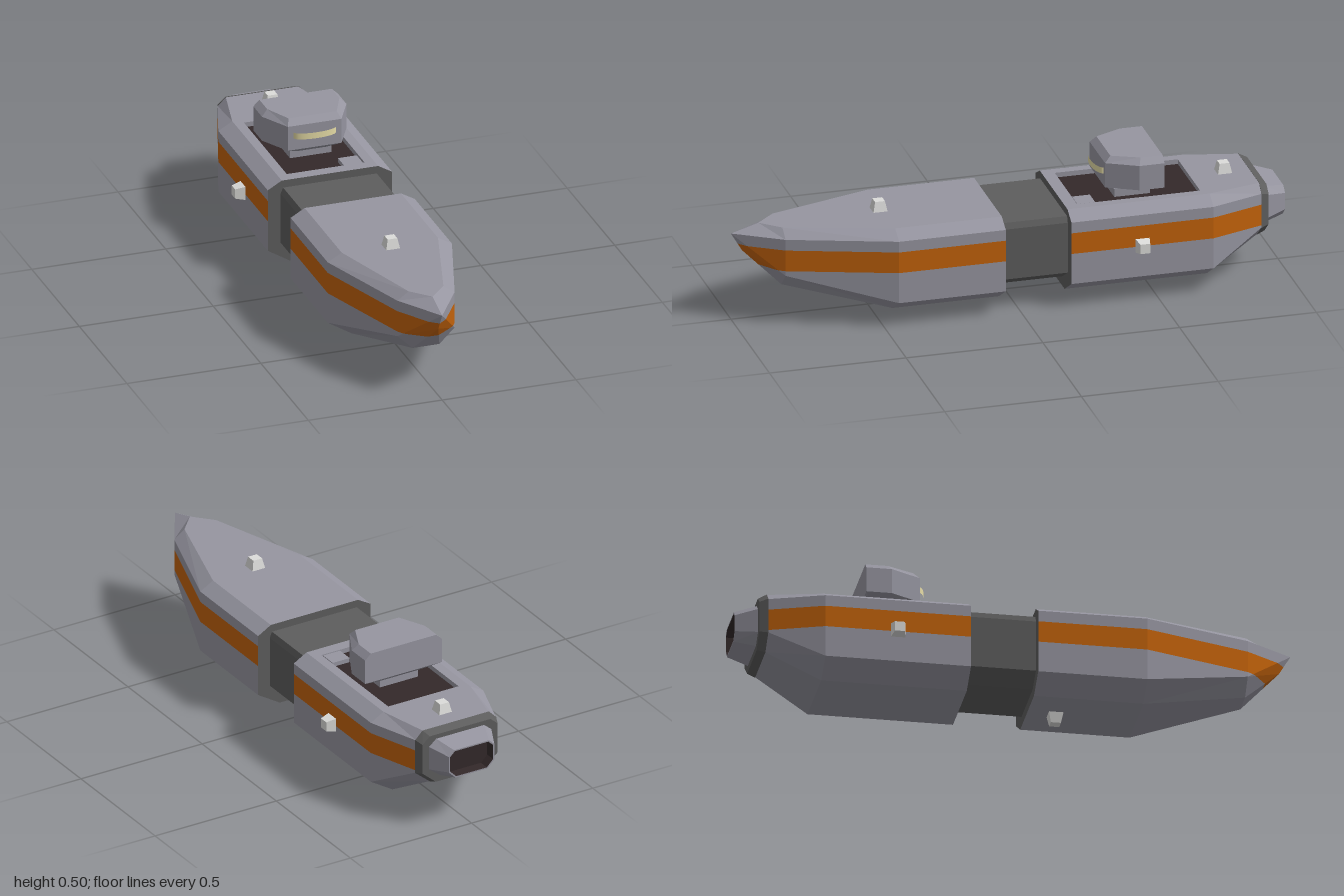
import * as THREE from 'three';

const paint = (color) => new THREE.MeshStandardMaterial({ color });
const STRIPE_LOW = 0.208, STRIPE_HIGH = 0.287;

// Flat-shaded geometry from a list of triangles
function fromTriangles(tris) {
  const g = new THREE.BufferGeometry();
  g.setFromPoints(tris.flat());
  g.computeVertexNormals();
  return g;
}

// Closed ring from its +x half, mirrored to -x
function ring(half) {
  const right = half.map(([x, y, z]) => new THREE.Vector3(x, y, z));
  const left = half.map(([x, y, z]) => new THREE.Vector3(-x, y, z)).reverse();
  return [...right, ...left];
}

// Ring across the ship at one z, from [x, y] pairs
const section = (z, half) => ring(half.map(([x, y]) => [x, y, z]));
// Ring in plan at one y, from [x, z] pairs
const level = (y, half) => ring(half.map(([x, z]) => [x, y, z]));

// Cap of a ring; flipped for the far end
function cap(r, flip) {
  const tris = [];
  for (let i = 1; i < r.length - 1; i++) tris.push(flip ? [r[0], r[i + 1], r[i]] : [r[0], r[i], r[i + 1]]);
  return tris;
}

// Skin between successive rings, with mirrored diagonals; skipDeck names the span left open on top
function skin(rings, skipDeck = -1) {
  const tris = [];
  for (let s = 0; s < rings.length - 1; s++) {
    const a = rings[s], b = rings[s + 1], n = a.length;
    for (let i = 0; i < n; i++) {
      if (s === skipDeck && i === n - 1) continue;
      const j = (i + 1) % n;
      if (i < n / 2) tris.push([a[i], b[i], a[j]], [b[i], b[j], a[j]]);
      else tris.push([a[i], b[i], b[j]], [a[i], b[j], a[j]]);
    }
  }
  return tris.filter((t) => new THREE.Triangle(...t).getArea() > 1e-7);
}

// Part of a polygon on one side of a height (sign +1 keeps above)
function clip(poly, y, sign) {
  const out = [];
  poly.forEach((p, i) => {
    const q = poly[(i + 1) % poly.length];
    const dp = (p.y - y) * sign, dq = (q.y - y) * sign;
    if (dp >= 0) out.push(p);
    if (dp * dq < 0) out.push(p.clone().lerp(q, dp / (dp - dq)));
  });
  return out;
}

// Separates the triangles into plain hull and stripe
function splitStripe(tris) {
  const hull = [], stripe = [];
  const add = (list, poly) => { if (poly.length > 2) list.push(...cap(poly, false)); };
  for (const t of tris) {
    add(hull, clip(t, STRIPE_LOW, -1));
    add(stripe, clip(clip(t, STRIPE_LOW, 1), STRIPE_HIGH, -1));
    add(hull, clip(t, STRIPE_HIGH, 1));
  }
  return { hull, stripe };
}

export function createModel() {
  const hullGrey = paint(0x9695a0);
  const orange = paint(0xc2620a);
  const darkGrey = paint(0x5d5d5d);
  const pitBrown = paint(0x33292a);
  const paleGrey = paint(0xdcdcda);
  const windowYellow = paint(0xe6dca6);

  const model = new THREE.Group();
  const add = (name, geometry, material, parent = model) => {
    const m = new THREE.Mesh(geometry, material);
    m.name = name;
    parent.add(m);
    return m;
  };
  const addHull = (name, tris, endCap) => {
    const g = new THREE.Group();
    g.name = name;
    model.add(g);
    const { hull, stripe } = splitStripe(tris);
    add(name + 'Plating', fromTriangles(hull), hullGrey, g);
    add(name + 'Stripe', fromTriangles(stripe), orange, g);
    add(name + 'Bulkhead', fromTriangles(endCap), darkGrey, g);
    return g;
  };

  // Front hull, narrowing to a pointed bow
  const full = [[0.18, 0.358], [0.232, 0.328], [0.232, 0.093], [0.143, 0.038]];
  const frontRings = [
    section(0.06, full),
    section(0.45, full),
    section(0.83, [[0.065, 0.358], [0.107, 0.328], [0.107, 0.19], [0.05, 0.135]]),
    ring([[0, 0.358, 0.9], [0, 0.328, 1], [0, 0.26, 0.96], [0, 0.26, 0.96]]),
  ];
  addHull('frontHull', skin(frontRings), cap(frontRings[0], false));

  // Rear hull, with its deck left open for the bay
  const stern = [[0.135, 0.358], [0.165, 0.328], [0.165, 0.2], [0.105, 0.15]];
  const rearRings = [section(-0.895, stern), section(-0.7, full), section(-0.18, full)];
  const rear = addHull('rearHull', skin(rearRings, 1), cap(rearRings[2], true));

  // Deck around the bay
  const deck = new THREE.Shape([[-0.18, 0.18], [0.18, 0.18], [0.18, 0.7], [-0.18, 0.7]].map((p) => new THREE.Vector2(...p)));
  deck.holes.push(new THREE.Path([[-0.145, 0.225], [-0.145, 0.675], [0.145, 0.675], [0.145, 0.225]].map((p) => new THREE.Vector2(...p))));
  const deckGeometry = new THREE.ShapeGeometry(deck).rotateX(-Math.PI / 2).translate(0, 0.358, 0);
  add('rearDeck', deckGeometry, hullGrey, rear);

  // Sunken bay: inward walls, dark floor and a small locker in one corner
  const bayPlan = [[0.145, -0.675], [0.145, -0.225]];
  const bayFloor = level(0.34, bayPlan);
  add('bayWalls', fromTriangles(skin([level(0.358, bayPlan), bayFloor])), hullGrey, rear);
  add('bayFloor', fromTriangles(cap(bayFloor, true)), pitBrown, rear);
  add('bayLocker', new THREE.BoxGeometry(0.07, 0.017, 0.065).translate(0.105, 0.3475, -0.26), hullGrey, rear);

  // Narrow joint between the two hulls
  const joint = [[0.175, 0.33], [0.184, 0.308], [0.184, 0.117], [0.115, 0.075]];
  add('middleJoint', fromTriangles(skin([section(-0.2, joint), section(0.08, joint)])), darkGrey);

  // Dark collar at the stern
  const collarRings = [
    section(-0.923, [[0.125, 0.346], [0.155, 0.32], [0.155, 0.205], [0.1, 0.158]]),
    section(-0.893, [[0.137, 0.359], [0.167, 0.329], [0.167, 0.198], [0.107, 0.148]]),
  ];
  add('sternCollar', fromTriangles([...skin(collarRings), ...cap(collarRings[0], false), ...cap(collarRings[1], true)]), darkGrey);

  // Nozzle shell with a dark recess
  const inner = [[0.069, 0.306], [0.089, 0.287], [0.089, 0.231], [0.063, 0.205]];
  const outerRing = section(-1, [[0.072, 0.311], [0.094, 0.29], [0.094, 0.228], [0.066, 0.2]]);
  const nozzleBase = section(-0.92, [[0.1, 0.33], [0.13, 0.305], [0.13, 0.215], [0.085, 0.18]]);
  add('nozzle', fromTriangles(skin([section(-1, inner), outerRing, nozzleBase])), hullGrey);
  const recess = [section(-0.96, inner), section(-1, inner)];
  add('nozzleRecess', fromTriangles([...skin(recess), ...cap(recess[0], false)]), pitBrown);

  // Bridge tower on a short neck
  const tower = new THREE.Group();
  tower.name = 'bridgeTower';
  model.add(tower);
  const towerRings = [
    level(0.366, [[0.08, -0.51], [0.08, -0.46], [0.055, -0.375]]),
    level(0.39, [[0.158, -0.541], [0.158, -0.45], [0.1, -0.34]]),
    level(0.483, [[0.158, -0.541], [0.158, -0.45], [0.1, -0.34]]),
    level(0.505, [[0.135, -0.541], [0.135, -0.46], [0.09, -0.362]]),
  ];
  add('bridge', fromTriangles([...skin(towerRings), ...cap(towerRings[0], false), ...cap(towerRings[3], true)]), hullGrey, tower);
  add('bridgeNeck', new THREE.BoxGeometry(0.156, 0.034, 0.13).translate(0, 0.353, -0.445), hullGrey, tower);

  // Bowed window band, a single curved pane
  const band = new THREE.CylinderGeometry(0.079, 0.079, 0.023, 16, 1, true, -Math.PI / 2, Math.PI);
  add('bridgeWindow', band.scale(1, 1, 0.33).translate(0, 0.447, -0.34), windowYellow, tower);

  // Tapered studs: position of the base, then rotation outward
  const stud = new THREE.CylinderGeometry(0.018 * Math.SQRT2, 0.026 * Math.SQRT2, 0.038, 4)
    .rotateY(Math.PI / 4).translate(0, 0.018, 0).toNonIndexed();
  stud.computeVertexNormals();
  const studs = [
    ['bowStud', [0, 0.358, 0.46], [0, 0, 0]],
    ['sternStud', [0, 0.358, -0.8], [0, 0, 0]],
    ['keelStud', [0, 0.037, 0.16], [Math.PI, 0, 0]],
    ['leftStud', [0.231, 0.212, -0.44], [0, 0, -Math.PI / 2]],
    ['rightStud', [-0.231, 0.212, -0.44], [0, 0, Math.PI / 2]],
  ];
  for (const [name, position, rotation] of studs) {
    const m = add(name, stud, paleGrey);
    m.position.set(...position);
    m.rotation.set(...rotation);
  }
  return model;
}
